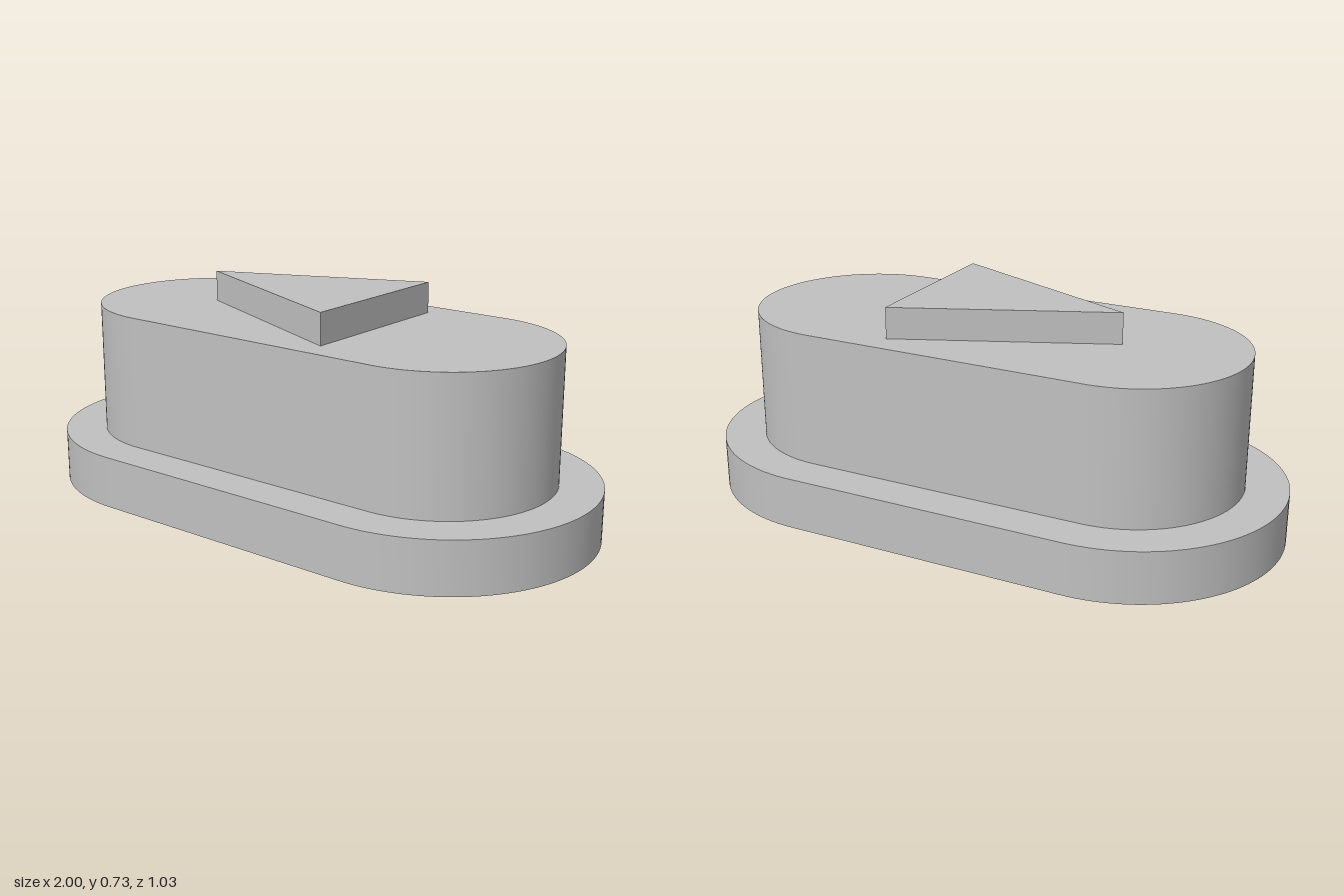
import * as THREE from 'three';
import { toCreasedNormals } from 'three/addons/utils/BufferGeometryUtils.js';

// Rounded slot outline: two half circles joined by straight sides
function slotShape(halfStraight, radius) {
  const s = new THREE.Shape();
  s.absarc(halfStraight, 0, radius, -Math.PI / 2, Math.PI / 2, false);
  s.absarc(-halfStraight, 0, radius, Math.PI / 2, Math.PI * 1.5, false);
  s.closePath();
  return s;
}

export function createModel() {
  const model = new THREE.Group();
  model.name = 'arrowButton';
  const grey = new THREE.MeshStandardMaterial({ color: 0xc0c0c0 });
  grey.name = 'light grey';

  // Extrude a plan outline upwards between two heights
  function addLayer(name, shape, bottom, top) {
    const geometry = new THREE.ExtrudeGeometry(shape, {
      depth: top - bottom, bevelEnabled: false, curveSegments: 32,
    });
    geometry.rotateX(-Math.PI / 2);
    geometry.translate(0, bottom, 0);
    const mesh = new THREE.Mesh(toCreasedNormals(geometry, 0.5), grey);
    mesh.name = name;
    model.add(mesh);
  }

  // Wide flange, button body and raised arrow pointing to -x
  addLayer('baseFlange', slotShape(0.483, 0.517), 0, 0.174);
  addLayer('buttonBody', slotShape(0.481, 0.379), 0.174, 0.622);
  const arrow = new THREE.Shape([
    new THREE.Vector2(-0.45, 0),
    new THREE.Vector2(0.237, -0.292),
    new THREE.Vector2(0.237, 0.292),
  ]);
  addLayer('raisedArrow', arrow, 0.622, 0.726);

  return model;
}
